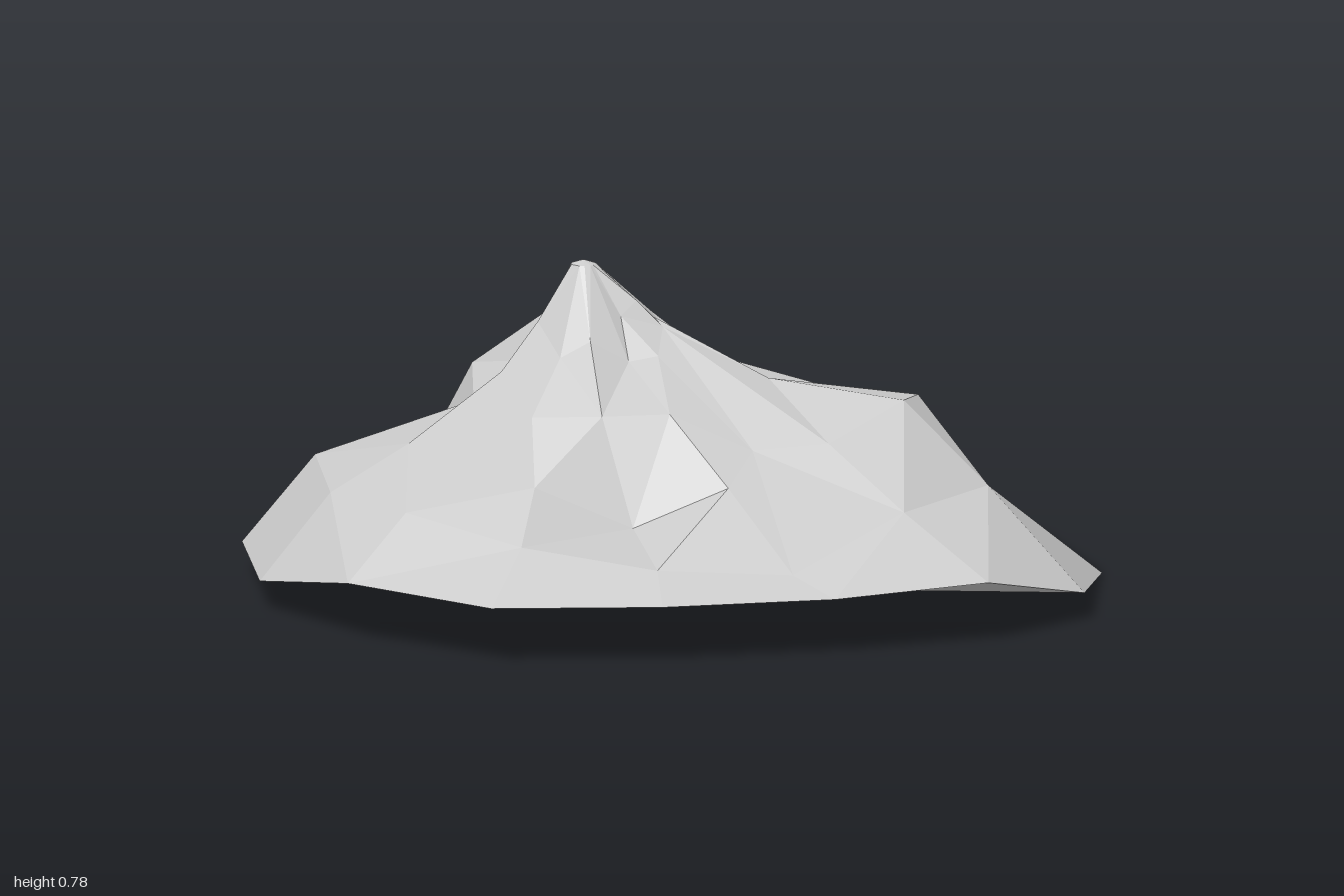
import * as THREE from 'three';

// Rings of [x, y, z] corners, each running from the +x side round by the front (+z).
const rim = [
  [1, 0, 0.02], [0.91, 0.065, 0.52], [0.66, 0.15, 0.77], [0.29, 0.14, 0.87], [-0.12, 0.14, 0.915],
  [-0.52, 0.14, 0.89], [-0.83, 0.145, 0.61], [-1, 0.07, 0.23], [-1, 0.07, -0.2], [-0.83, 0.13, -0.58],
  [-0.52, 0.135, -0.855], [-0.12, 0.15, -0.925], [0.29, 0.15, -0.88], [0.66, 0.15, -0.73], [0.91, 0, -0.39],
];
const lowerSlope = [
  [0.72, 0.21, 0.02], [0.7, 0.29, 0.35], [0.48, 0.28, 0.58], [0.2, 0.18, 0.78], [-0.12, 0.2, 0.79],
  [-0.43, 0.24, 0.69], [-0.68, 0.28, 0.47], [-0.83, 0.27, 0.19], [-0.83, 0.28, -0.18], [-0.7, 0.25, -0.45],
  [-0.5, 0.16, -0.77], [-0.12, 0.2, -0.86], [0.2, 0.24, -0.73], [0.48, 0.29, -0.54], [0.65, 0.22, -0.35],
];
const shoulder = [
  [0.56, 0.455, 0.1], [0.51, 0.48, 0.27], [0.32, 0.41, 0.41], [0.14, 0.4, 0.42], [0.07, 0.34, 0.55],
  [-0.15, 0.24, 0.51], [-0.38, 0.34, 0.5], [-0.64, 0.37, 0.13], [-0.47, 0.43, -0.05], [-0.52, 0.34, -0.28],
  [-0.41, 0.19, -0.62], [-0.12, 0.26, -0.78], [0.1, 0.33, -0.5], [0.26, 0.3, -0.39], [0.46, 0.39, -0.18],
];
const upperSlope = [
  [0.19, 0.45, 0.02], [0.2, 0.52, 0.18], [-0.04, 0.63, 0.1], [-0.06, 0.58, 0.19], [-0.05, 0.48, 0.37],
  [-0.21, 0.48, 0.38], [-0.37, 0.47, 0.33], [-0.42, 0.53, 0.1], [-0.35, 0.53, -0.02], [-0.46, 0.49, -0.19],
  [-0.38, 0.35, -0.47], [-0.1, 0.39, -0.43], [-0.08, 0.43, -0.29], [0.1, 0.39, -0.34], [0.09, 0.485, -0.27],
];
const neck = [
  [0, 0.57, 0.02], [-0.06, 0.65, 0.08], [-0.1, 0.69, 0.08], [-0.14, 0.66, 0.11], [-0.13, 0.57, 0.2],
  [-0.22, 0.62, 0.2], [-0.29, 0.58, 0.19], [-0.33, 0.64, 0.06], [-0.29, 0.66, 0], [-0.3, 0.64, -0.05],
  [-0.33, 0.45, -0.26], [-0.22, 0.51, -0.27], [-0.15, 0.62, -0.13], [-0.07, 0.6, -0.14], [-0.05, 0.63, -0.07],
];

// Small collar round the summit, facing each corner of the neck
const peak = [-0.22, 0.78, 0.03];
const collar = neck.map(([x, , z]) => {
  const a = Math.atan2(z - peak[2], x - peak[0]);
  return [peak[0] + 0.03 * Math.cos(a), 0.77, peak[2] + 0.03 * Math.sin(a)];
});

function facetedMesh(name, triangles) {
  const geometry = new THREE.BufferGeometry();
  geometry.setAttribute('position', new THREE.Float32BufferAttribute(triangles.flat(2), 3));
  geometry.computeVertexNormals();
  const material = new THREE.MeshStandardMaterial({ color: 0xcccccc, flatShading: true });
  const mesh = new THREE.Mesh(geometry, material);
  mesh.name = name;
  return mesh;
}

const distance = (p, q) => Math.hypot(p[0] - q[0], p[1] - q[1], p[2] - q[2]);

// Triangles between two rings, facing up, each quad split along its shorter diagonal
function band(inner, outer) {
  return inner.flatMap((a, i) => {
    const j = (i + 1) % inner.length;
    const b = inner[j], c = outer[j], d = outer[i];
    return distance(a, c) < distance(b, d) ? [[a, c, d], [a, b, c]] : [[a, b, d], [b, c, d]];
  });
}

// Triangles from the summit down to a ring
function cap(top, ring) {
  return ring.map((a, i) => [top, ring[(i + 1) % ring.length], a]);
}

// Triangles of the underside, fanned from one rim corner to a run of others
function rimFan(hub, corners) {
  return corners.slice(1).map((k, i) => [rim[hub], rim[corners[i]], rim[k]]);
}

export function createModel() {
  const group = new THREE.Group();
  group.name = 'mountain';

  // Summit and slopes, from the top down
  group.add(facetedMesh('summit', cap(peak, collar)));
  group.add(facetedMesh('peakSlopes', band(collar, neck)));
  group.add(facetedMesh('upperSlopes', band(neck, upperSlope)));
  group.add(facetedMesh('shoulderSlopes', band(upperSlope, shoulder)));
  group.add(facetedMesh('lowerSlopes', band(shoulder, lowerSlope)));
  group.add(facetedMesh('footSlopes', band(lowerSlope, rim)));

  // Underside, hollowed up between the low corners of the rim
  group.add(facetedMesh('base', [
    ...rimFan(14, [0, 1, 6, 10, 11, 12, 13]),
    ...rimFan(6, [1, 2, 3, 4, 5]),
    ...rimFan(6, [7, 8, 10]),
    ...rimFan(8, [9, 10]),
  ]));
  return group;
}
